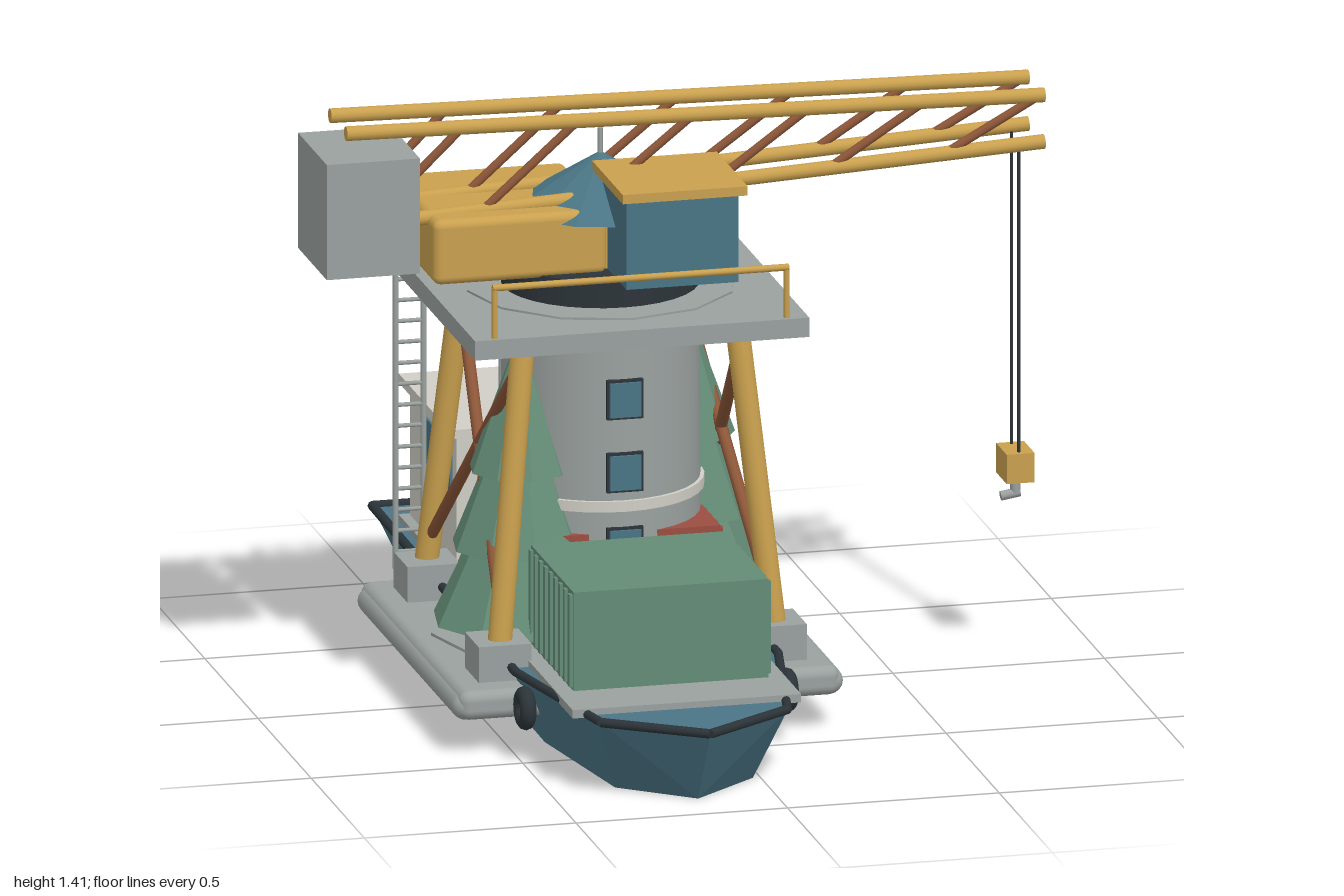
import * as THREE from 'three';
import { ConvexGeometry } from 'three/addons/geometries/ConvexGeometry.js';
import { RoundedBoxGeometry } from 'three/addons/geometries/RoundedBoxGeometry.js';

const material = (name, color) => {
  const m = new THREE.MeshStandardMaterial({ color });
  m.name = name;
  return m;
};

export function createModel() {
  const yellow = material('crane yellow', 0xc9a04e);
  const teal = material('teal', 0x4a7585);
  const grey = material('grey', 0x9aa19f);
  const cream = material('cream', 0xd0cec5);
  const green = material('green', 0x648c77);
  const red = material('red', 0x9c4e42);
  const brown = material('rust brown', 0x8c5638);
  const dark = material('dark', 0x2c3439);
  const hullTeal = teal.clone();
  hullTeal.name = 'hull teal';
  hullTeal.flatShading = true;
  const treeGreen = green.clone();
  treeGreen.name = 'tree green';
  treeGreen.flatShading = true;

  const model = new THREE.Group();
  const ship = new THREE.Group();
  ship.name = 'craneShip';
  ship.position.set(-0.18, 0, -0.045);
  model.add(ship);

  const add = (name, geometry, mat, x = 0, y = 0, z = 0) => {
    const mesh = new THREE.Mesh(geometry, mat);
    mesh.name = name;
    mesh.position.set(x, y, z);
    ship.add(mesh);
    return mesh;
  };
  const box = (name, mat, w, h, d, x, y, z) => add(name, new THREE.BoxGeometry(w, h, d), mat, x, y, z);
  const cyl = (name, mat, rTop, rBottom, y0, y1, x = 0, z = 0, sides = 32) =>
    add(name, new THREE.CylinderGeometry(rTop, rBottom, y1 - y0, sides), mat, x, (y0 + y1) / 2, z);
  const strut = (name, mat, r, a, b, sides = 10) => {
    const from = new THREE.Vector3(...a), to = new THREE.Vector3(...b);
    const dir = to.clone().sub(from);
    const mesh = add(name, new THREE.CylinderGeometry(r, r, dir.length(), sides), mat);
    mesh.position.copy(from).add(to).multiplyScalar(0.5);
    mesh.quaternion.setFromUnitVectors(new THREE.Vector3(0, 1, 0), dir.normalize());
  };

  // Hull: deck outline shrunk towards the keel, with a dark rim
  const outline = [[-0.3, -0.95], [-0.31, 0.44], [-0.22, 0.885], [0, 1.035], [0.22, 0.885], [0.31, 0.44], [0.3, -0.95]];
  const hullPoints = outline.flatMap(([x, z]) => [
    new THREE.Vector3(x, 0.185, z), new THREE.Vector3(x * 0.74, 0, z * 0.89)]);
  add('hull', new ConvexGeometry(hullPoints), hullTeal);
  outline.forEach(([x, z], i) => {
    const [nx, nz] = outline[(i + 1) % outline.length];
    strut('hullRim', dark, 0.011, [x, 0.187, z], [nx, 0.187, nz], 8);
  });
  box('deckPlate', grey, 0.54, 0.02, 1.64, 0, 0.19, -0.005);

  // Side platform with rounded fender tubes and tyres
  add('basePlatform', new RoundedBoxGeometry(0.9, 0.07, 0.95, 3, 0.025), grey, 0, 0.12, 0);
  cyl('baseDisc', grey, 0.4, 0.4, 0.15, 0.162, 0, 0, 12);
  for (const s of [-1, 1]) {
    const tube = add('fenderTube', new THREE.CapsuleGeometry(0.032, 0.88, 6, 16), grey, s * 0.43, 0.115, 0);
    tube.rotation.x = Math.PI / 2;
    for (const z of [-0.515, 0.525]) {
      const tyre = add('tyre', new THREE.TorusGeometry(0.032, 0.019, 10, 20), dark, s * 0.31, 0.125, z);
      tyre.rotation.y = Math.PI / 2;
    }
  }

  // Deckhouse with side windows, funnel and signal mast
  box('deckhouse', cream, 0.49, 0.31, 0.44, 0, 0.355, -0.595);
  box('deckhouseRoof', cream, 0.53, 0.022, 0.475, 0, 0.52, -0.602);
  for (const s of [-1, 1]) box('deckhouseWindow', teal, 0.008, 0.11, 0.275, s * 0.247, 0.425, -0.55);
  cyl('funnel', red, 0.046, 0.046, 0.53, 0.705, 0.122, -0.725, 20);
  cyl('signalMast', grey, 0.008, 0.008, 0.53, 0.79, -0.09, -0.565, 8);
  box('signalMastBar', grey, 0.185, 0.012, 0.012, -0.09, 0.74, -0.565);

  // Ribbed cargo containers
  const container = (name, mat, z, depth) => {
    box(name, mat, 0.46, 0.235, depth, 0, 0.3175, z);
    for (const s of [-1, 1]) {
      for (let i = 0; i < 9; i++) {
        box(name + 'Rib', mat, 0.012, 0.22, 0.018, s * 0.232, 0.3175, z + (i / 8 - 0.5) * (depth - 0.03));
      }
    }
  };
  container('bowContainer', green, 0.465, 0.4);
  container('midContainer', red, 0, 0.43);

  // Layered fir trees
  const tree = (x, z, r, top) => {
    const h = top - 0.2;
    for (const [low, high, k] of [[0.02, 0.52, 1], [0.27, 0.74, 0.78], [0.53, 1, 0.58]]) {
      cyl('treeTier', treeGreen, k * r * 0.18 * (high < 1), k * r, 0.2 + low * h, 0.2 + high * h, x, z, 9);
    }
  };
  tree(0.22, -0.095, 0.205, 0.9);
  tree(-0.215, 0.1, 0.205, 0.9);
  tree(-0.15, -0.29, 0.12, 0.67);

  // Tower with collars and front windows
  cyl('tower', grey, 0.227, 0.232, 0.16, 0.93);
  cyl('towerBand', cream, 0.239, 0.239, 0.49, 0.515);
  cyl('towerCollar', grey, 0.26, 0.26, 0.885, 0.927);
  for (const y of [0.405, 0.583, 0.757]) {
    box('towerWindowFrame', dark, 0.086, 0.094, 0.02, 0, y, 0.226);
    box('towerWindow', teal, 0.074, 0.082, 0.008, 0, y, 0.238);
  }

  // Splayed legs, feet and crossed side braces
  const legAt = (sx, sz, t) => [sx * (0.325 - 0.072 * t), 0.22 + 0.71 * t, sz * (0.345 - 0.065 * t)];
  for (const sx of [-1, 1]) {
    for (const sz of [-1, 1]) {
      box('legFoot', grey, 0.125, 0.1, 0.13, sx * 0.325, 0.19, sz * 0.335);
      strut('leg', yellow, 0.028, legAt(sx, sz, 0), legAt(sx, sz, 1), 16);
      strut('legBrace', brown, 0.014, legAt(sx, sz, 0.09), legAt(sx, -sz, 0.93));
    }
  }

  // Upper platform, railings and ladder
  box('upperPlatform', grey, 0.79, 0.046, 0.79, 0, 0.947, 0);
  cyl('platformDisc', grey, 0.315, 0.315, 0.965, 0.975, 0, 0, 12);
  for (const z of [-0.38, 0.38]) {
    strut('railing', yellow, 0.008, [-0.35, 1.09, z], [0.35, 1.09, z]);
    for (const x of [-0.345, 0.345]) strut('railingPost', yellow, 0.007, [x, 0.96, z], [x, 1.09, z]);
  }
  for (const x of [-0.383, -0.317]) strut('ladderRail', grey, 0.007, [x, 0.2, -0.4], [x, 0.985, -0.4]);
  for (let i = 0; i < 15; i++) {
    strut('ladderRung', grey, 0.005, [-0.383, 0.24 + i * 0.05, -0.4], [-0.317, 0.24 + i * 0.05, -0.4], 6);
  }

  // Turntable, turret and conical roof
  cyl('turntable', dark, 0.228, 0.228, 0.97, 1.04);
  cyl('turretBody', yellow, 0.13, 0.13, 1.04, 1.18, 0, 0, 16);
  cyl('turretRoof', hullTeal, 0, 0.205, 1.16, 1.285, 0, 0, 12);
  cyl('turretMast', grey, 0.006, 0.006, 1.25, 1.34, 0, 0, 8);

  // Machinery house and operator cab
  add('machineryHouse', new RoundedBoxGeometry(0.41, 0.155, 0.41, 3, 0.02), yellow, -0.225, 1.11, -0.055);
  box('cab', teal, 0.265, 0.21, 0.26, 0.118, 1.145, 0.175);
  box('cabRoof', yellow, 0.295, 0.022, 0.29, 0.121, 1.26, 0.173);

  // Lattice boom
  const upperY = (x) => 1.391 - 0.0155 * (x + 0.62);
  const lowerY = (x) => 1.176 + 0.0525 * (x + 0.46);
  for (const z of [-0.075, 0.075]) {
    strut('boomUpperChord', yellow, 0.017, [-0.62, upperY(-0.62), z], [1.03, upperY(1.03), z], 14);
    strut('boomLowerChord', yellow, 0.017, [-0.5, lowerY(-0.5), z], [1.03, lowerY(1.03), z], 14);
    for (let i = 0; i < 6; i++) {
      const x = -0.57 + i * 0.273;
      strut('boomDiagonal', brown, 0.011, [x, lowerY(x), z], [x + 0.225, upperY(x + 0.225), z], 8);
    }
  }
  box('counterweight', grey, 0.22, 0.275, 0.27, -0.57, 1.2, 0);

  // Hoist cables, block and hook
  for (const z of [-0.033, 0.037]) strut('hoistCable', dark, 0.004, [0.98, 0.5, z], [0.98, 1.25, z], 6);
  box('hookBlock', yellow, 0.066, 0.07, 0.1, 0.98, 0.47, 0.004);
  cyl('hookShank', grey, 0.012, 0.012, 0.4, 0.44, 0.98, 0.004, 10);
  strut('hookTip', grey, 0.011, [0.99, 0.4, 0.004], [0.945, 0.393, 0.004]);

  return model;
}
